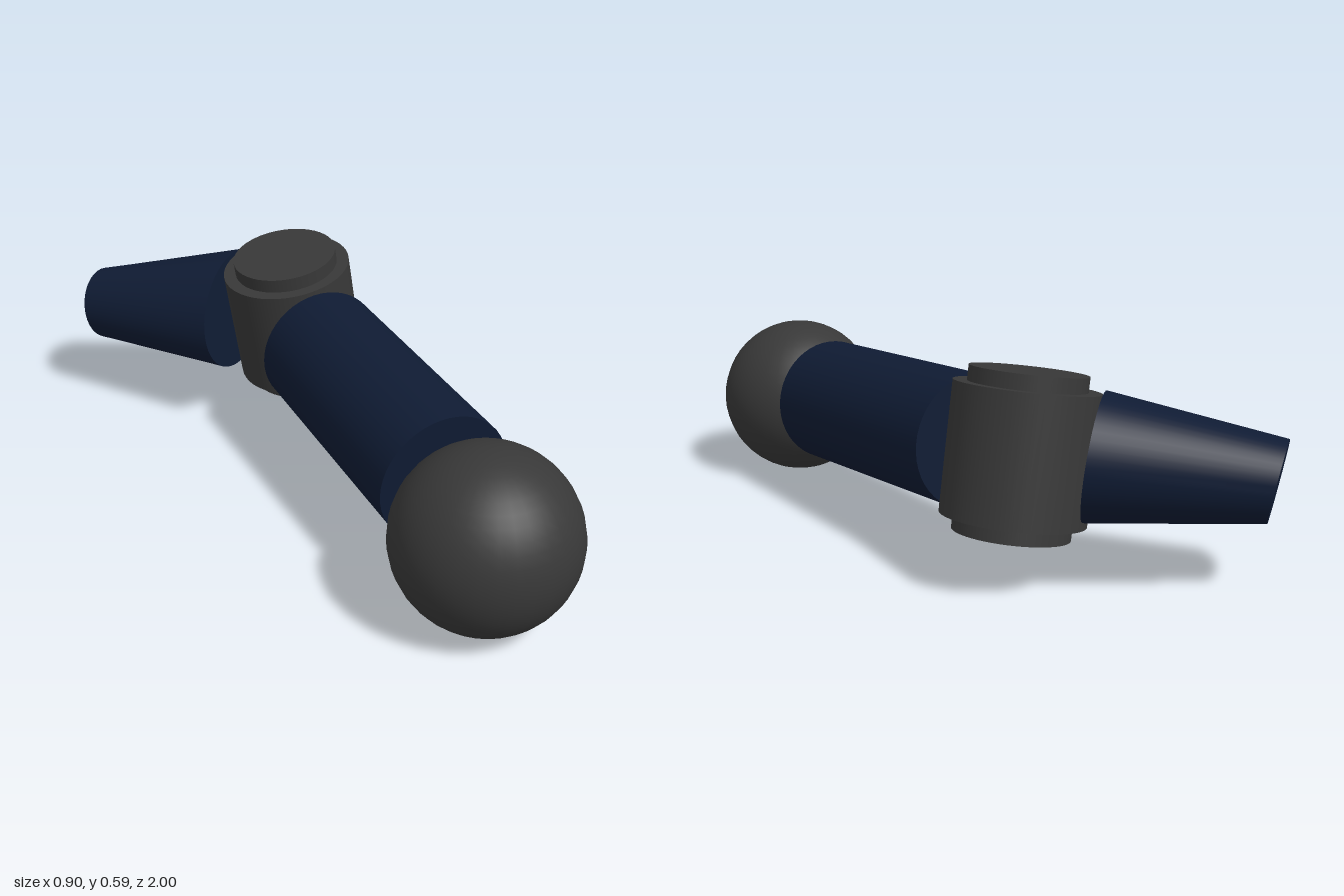
import * as THREE from 'three';
import { toCreasedNormals } from 'three/addons/utils/BufferGeometryUtils.js';

const V = (x, y, z) => new THREE.Vector3(x, y, z);

export function createModel() {
  const model = new THREE.Group();
  const grey = new THREE.MeshStandardMaterial({ color: 0x383838 });
  const navy = new THREE.MeshStandardMaterial({ color: 0x0f1b33 });

  const add = (parent, name, geometry, material, position) => {
    const mesh = new THREE.Mesh(geometry, material);
    mesh.name = name;
    if (position) mesh.position.copy(position);
    parent.add(mesh);
    return mesh;
  };

  // Ball joint at the shoulder
  add(model, 'shoulderBall', new THREE.SphereGeometry(0.245, 32, 24), grey, V(-0.212, 0.245, 0.753));

  // Everything else lies in a plane tilted about z, centred on the elbow
  const arm = new THREE.Group();
  arm.name = 'arm';
  arm.position.set(0.225, 0.348, -0.378);
  arm.rotation.z = 0.187;
  model.add(arm);

  // Elbow drum with a narrower pin showing at both ends
  add(arm, 'elbowDrum', new THREE.CylinderGeometry(0.194, 0.194, 0.346, 48), grey);
  add(arm, 'elbowPin', new THREE.CylinderGeometry(0.157, 0.157, 0.428, 48), grey);

  // Upper arm tube
  const back = V(-0.087, -0.01, 0.203), front = V(-0.351, -0.004, 0.916);
  const upper = add(arm, 'upperArm', new THREE.CylinderGeometry(0.186, 0.186, back.distanceTo(front), 48),
    navy, back.clone().lerp(front, 0.5));
  upper.quaternion.setFromUnitVectors(V(0, 1, 0), front.clone().sub(back).normalize());

  // Forearm: a wide oval tapering to a small round wrist
  const elbowEnd = { c: V(-0.09, 0.012, -0.17), u: V(0.203, 0, -0.082), v: V(0, 0.173, -0.008) };
  const wristEnd = { c: V(-0.304, 0.006, -0.584), u: V(0.105, 0, -0.033), v: V(0, 0.111, -0.014) };
  const cone = new THREE.CylinderGeometry(1, 1, 1, 48);
  const pos = cone.attributes.position;
  for (let i = 0; i < pos.count; i++) {
    const t = pos.getY(i) + 0.5;
    const mix = (key) => elbowEnd[key].clone().lerp(wristEnd[key], t);
    const p = mix('c').addScaledVector(mix('u'), pos.getX(i)).addScaledVector(mix('v'), pos.getZ(i));
    pos.setXYZ(i, p.x, p.y, p.z);
  }
  add(arm, 'forearm', toCreasedNormals(cone, 0.7), navy);

  return model;
}
